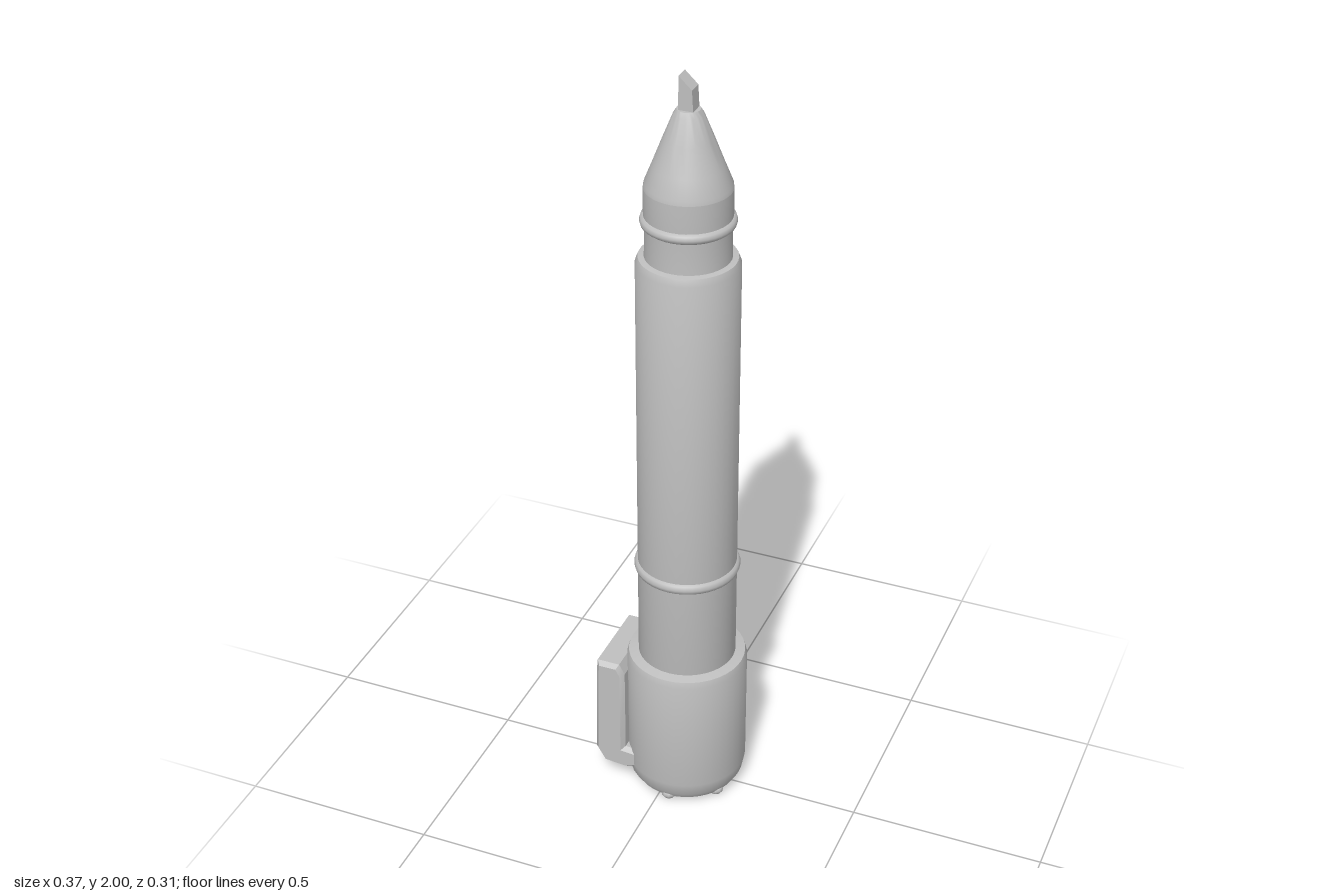
import * as THREE from 'three';
import { toCreasedNormals } from 'three/addons/utils/BufferGeometryUtils.js';

const AXIS_X = 0.03; // the barrel sits off centre because of the clip

export function createModel() {
  const model = new THREE.Group();
  model.name = 'markerPen';
  const grey = new THREE.MeshStandardMaterial({ color: 0xbfbfbf });
  grey.name = 'plain grey';

  const add = (name, geometry, x = AXIS_X, y = 0, z = 0) => {
    const mesh = new THREE.Mesh(geometry, grey);
    mesh.name = name;
    mesh.position.set(x, y, z);
    model.add(mesh);
    return mesh;
  };
  // Turned part from [radius, height] pairs, listed bottom to top on the outside
  const turned = (name, profile) => add(name, toCreasedNormals(
    new THREE.LatheGeometry(profile.map(([r, y]) => new THREE.Vector2(r, y)), 40), 0.6));
  const ring = (name, radius, tube, y) => {
    const geometry = new THREE.TorusGeometry(radius, tube, 10, 40);
    geometry.rotateX(Math.PI / 2);
    return add(name, geometry, AXIS_X, y);
  };

  // Cap pushed on the rear end, with a recessed opening underneath
  turned('cap', [
    [0, 0.07], [0.09, 0.07], [0.1, 0.017], [0.135, 0.015], [0.148, 0.035], [0.155, 0.07],
    [0.155, 0.39], [0.15, 0.407], [0.125, 0.412], [0.115, 0.4],
  ]);

  // Small nubs on the rim of the cap
  for (let i = 0; i < 6; i++) {
    const a = Math.PI / 6 + i * Math.PI / 3;
    const nub = add('capNub', new THREE.SphereGeometry(0.02, 10, 8),
      AXIS_X + 0.124 * Math.cos(a), 0.016, 0.124 * Math.sin(a));
    nub.scale.y = 0.8;
  }

  // Barrel with its shoulder and the narrower neck
  turned('barrel', [
    [0.12, 0.38], [0.125, 0.4], [0.125, 1.53], [0.118, 1.547], [0.1, 1.55],
  ]);
  ring('barrelRing', 0.116, 0.018, 0.68);
  turned('neck', [[0.104, 1.54], [0.102, 1.62], [0.105, 1.66], [0.105, 1.725]]);
  ring('neckRing', 0.1, 0.014, 1.642);

  // Tapered nose holding the nib
  turned('nose', [
    [0.105, 1.72], [0.103, 1.735], [0.085, 1.78], [0.06, 1.845], [0.036, 1.905],
    [0.028, 1.918], [0, 1.918],
  ]);

  // Chisel nib, its top sloping down towards +x
  const nib = new THREE.BoxGeometry(0.038, 0.1, 0.038);
  const p = nib.attributes.position;
  for (let i = 0; i < p.count; i++) {
    if (p.getY(i) > 0) {
      p.setY(i, p.getX(i) > 0 ? 0.02 : 0.05);
      p.setX(i, p.getX(i) > 0 ? 0.015 : -0.017);
    }
  }
  nib.computeVertexNormals();
  add('nib', nib, AXIS_X, 1.95);

  // Wide pocket clip, hooked into the cap at its foot
  const outline = [
    [-0.168, 0.37], [-0.123, 0.37], [-0.112, 0.35], [-0.112, 0.105], [-0.06, 0.1],
    [-0.055, 0.075], [-0.1, 0.057], [-0.155, 0.062], [-0.175, 0.095], [-0.17, 0.35],
  ].map(([x, y]) => new THREE.Vector2(x, y));
  const clip = new THREE.ExtrudeGeometry(new THREE.Shape(outline), {
    depth: 0.206, bevelEnabled: true, bevelThickness: 0.012, bevelSize: 0.01, bevelSegments: 1,
  });
  clip.translate(0, 0, -0.103);
  add('clip', toCreasedNormals(clip, 0.5), 0);

  return model;
}
